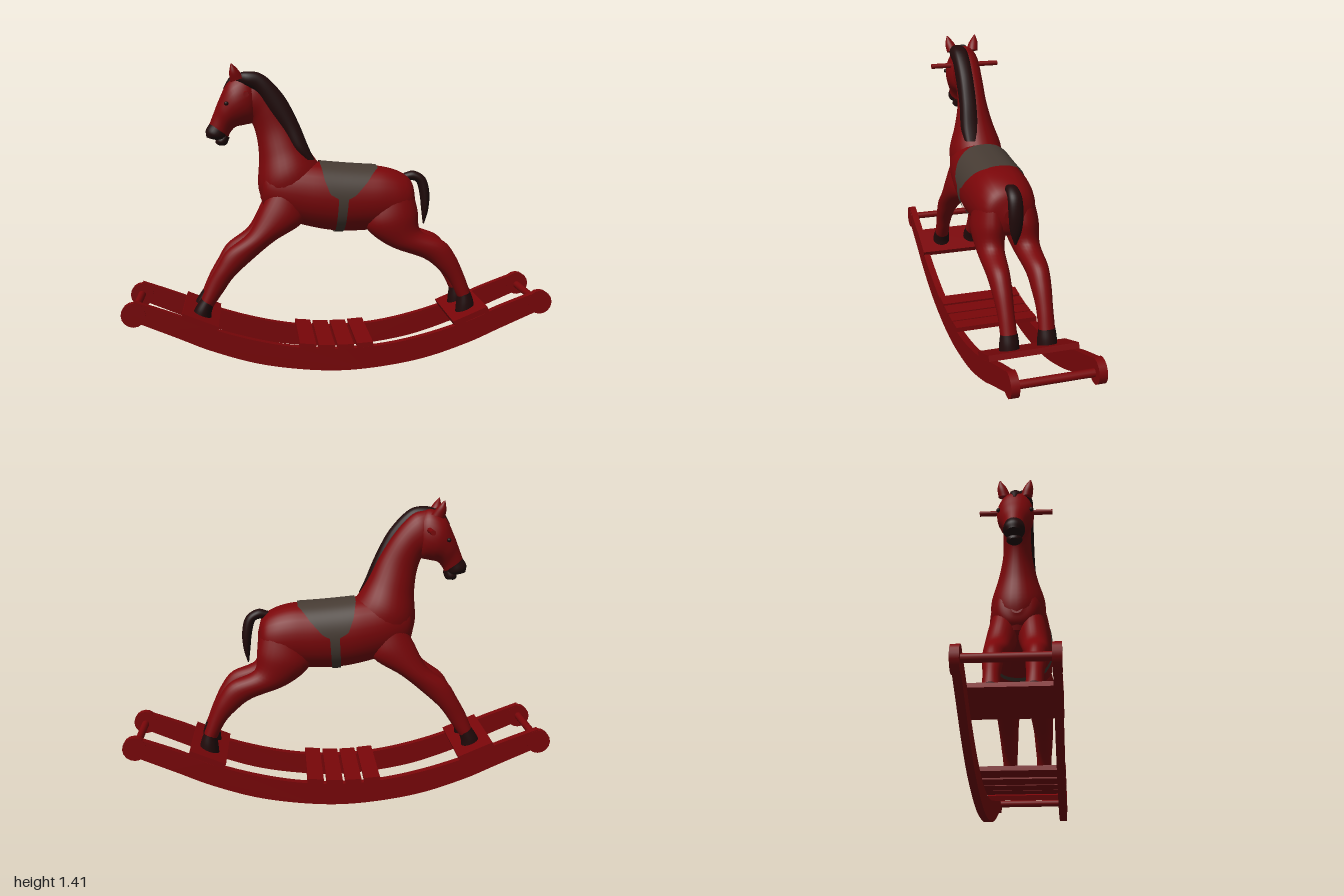
import * as THREE from 'three';

const red = new THREE.MeshStandardMaterial({ color: 0x7a0609 });
red.name = 'red paint';
const dark = new THREE.MeshStandardMaterial({ color: 0x200a0a });
dark.name = 'dark hair';
const grey = new THREE.MeshStandardMaterial({ color: 0x463b33, side: THREE.DoubleSide });
grey.name = 'saddle cloth';

function add(group, name, geometry, material, x = 0, y = 0, z = 0) {
  const mesh = new THREE.Mesh(geometry, material);
  mesh.name = name;
  mesh.position.set(x, y, z);
  group.add(mesh);
  return mesh;
}

// Sine with a fuller shoulder, for barrel-shaped sections
const fullSine = (q, power) => Math.sign(Math.sin(q)) * Math.abs(Math.sin(q)) ** power;

// Smooth closed loft of rounded sections [ax, ay, bx, by, halfWidth, z]:
// a and b are opposite outline points in the side plane.
function loft(rows, side = 1, power = 1) {
  const sides = 28, n = (rows.length - 1) * 6;
  const curve = (f) => new THREE.CatmullRomCurve3(rows.map(f), false, 'catmullrom', 0.5);
  const curveA = curve((r) => new THREE.Vector3(r[0], r[1], (r[5] || 0) * side));
  const curveB = curve((r) => new THREE.Vector3(r[2], r[3], r[4]));
  const pos = [], idx = [];
  const ring = (t) => {
    const a = curveA.getPoint(t), b = curveB.getPoint(t);
    const cx = (a.x + b.x) / 2, cy = (a.y + b.y) / 2;
    for (let j = 0; j < sides; j++) {
      const q = (j / sides) * Math.PI * 2, c = Math.cos(q) / 2;
      pos.push(cx + c * (a.x - b.x), cy + c * (a.y - b.y), a.z + fullSine(q, power) * b.z);
    }
    return [cx, cy, a.z];
  };
  for (let i = 0; i <= n; i++) ring(i / n);
  for (let i = 0; i < n; i++) for (let j = 0; j < sides; j++) {
    const k = (j + 1) % sides, p = i * sides, q = p + sides;
    idx.push(p + j, q + j, p + k, p + k, q + j, q + k);
  }
  // End caps with their own vertices, so their rims stay sharp
  for (const t of [0, 1]) {
    const s = pos.length / 3;
    pos.push(...ring(t));
    for (let j = 0; j < sides; j++) {
      const k = (j + 1) % sides;
      idx.push(s + sides, s + (t ? k : j), s + (t ? j : k));
    }
  }
  // Turn the faces outward if the enclosed volume is negative
  const at = (i) => new THREE.Vector3().fromArray(pos, i * 3);
  let volume = 0;
  for (let i = 0; i < idx.length; i += 3) volume += at(idx[i]).dot(at(idx[i + 1]).cross(at(idx[i + 2])));
  if (volume < 0) idx.reverse();
  const g = new THREE.BufferGeometry();
  g.setAttribute('position', new THREE.Float32BufferAttribute(pos, 3));
  g.setIndex(idx);
  g.computeVertexNormals();
  return g;
}

// Saddle cloth narrowing to a girth that runs around the belly
function saddleGeometry() {
  const outline = [[0, -0.085, 0.185], [20, -0.085, 0.185], [56, -0.07, 0.13],
    [80, -0.045, 0.075], [87, -0.005, 0.04], [180, -0.02, 0.02]];
  const pos = [], idx = [], cols = 8;
  for (let d = -180; d <= 180; d += 3) {
    const m = Math.abs(d);
    const i = Math.max(1, outline.findIndex((o) => o[0] >= m));
    const p = outline[i - 1], q = outline[i], f = (m - p[0]) / (q[0] - p[0]);
    for (let c = 0; c <= cols; c++) {
      const x = THREE.MathUtils.lerp(p[1] + (q[1] - p[1]) * f, p[2] + (q[2] - p[2]) * f, c / cols);
      const top = 0.95 - 0.09 * x + 0.1 * x * x, bottom = 0.632 - 0.07 * Math.min(x, 0), r = (d * Math.PI) / 180;
      pos.push(x, (top + bottom) / 2 + Math.cos(r) * ((top - bottom) / 2 + 0.006), fullSine(r, 0.8) * 0.152);
    }
  }
  for (let r = 0; r < 120; r++) for (let c = 0; c < cols; c++) {
    const a = r * (cols + 1) + c, b = a + cols + 1;
    idx.push(a, b, a + 1, a + 1, b, b + 1);
  }
  const g = new THREE.BufferGeometry();
  g.setAttribute('position', new THREE.Float32BufferAttribute(pos, 3));
  g.setIndex(idx);
  g.computeVertexNormals();
  return g;
}

export function createModel() {
  const model = new THREE.Group();
  model.name = 'rockingHorse';

  // Torso, neck and head
  add(model, 'body', loft([
    [-0.36, 0.88, -0.36, 0.79, 0.03], [-0.335, 0.94, -0.335, 0.74, 0.09], [-0.25, 0.97, -0.25, 0.69, 0.125],
    [-0.12, 0.962, -0.12, 0.652, 0.143], [0, 0.95, 0, 0.632, 0.147], [0.12, 0.94, 0.12, 0.632, 0.147],
    [0.22, 0.932, 0.22, 0.64, 0.143], [0.3, 0.907, 0.3, 0.65, 0.13], [0.35, 0.868, 0.35, 0.68, 0.1],
    [0.37, 0.8, 0.37, 0.73, 0.035]], 1, 0.8), red);
  add(model, 'neck', loft([
    [-0.04, 0.9, -0.33, 0.72, 0.12], [-0.1, 0.97, -0.37, 0.84, 0.125], [-0.15, 1.05, -0.365, 0.98, 0.092],
    [-0.2, 1.15, -0.375, 1.08, 0.069], [-0.27, 1.26, -0.4, 1.15, 0.064], [-0.35, 1.345, -0.44, 1.17, 0.065],
    [-0.42, 1.365, -0.47, 1.2, 0.05]]), red);
  add(model, 'head', loft([
    [-0.37, 1.33, -0.36, 1.22, 0.04], [-0.43, 1.37, -0.385, 1.15, 0.073], [-0.5, 1.335, -0.425, 1.135, 0.084],
    [-0.545, 1.25, -0.47, 1.125, 0.07], [-0.57, 1.19, -0.495, 1.1, 0.053], [-0.59, 1.14, -0.505, 1.08, 0.046]]), red);
  add(model, 'muzzle', loft([
    [-0.588, 1.143, -0.504, 1.083, 0.047], [-0.608, 1.11, -0.525, 1.065, 0.048],
    [-0.606, 1.078, -0.555, 1.065, 0.032]]), dark);
  add(model, 'chin', loft([
    [-0.535, 1.09, -0.5, 1.075, 0.03], [-0.56, 1.07, -0.515, 1.043, 0.035],
    [-0.565, 1.052, -0.545, 1.038, 0.018]]), dark);

  // Hair: the mane falls to one side of the neck
  add(model, 'mane', loft([
    [-0.48, 1.36, -0.47, 1.33, 0.015, 0.03], [-0.42, 1.378, -0.42, 1.31, 0.039, 0.036],
    [-0.34, 1.362, -0.37, 1.28, 0.04, 0.036], [-0.25, 1.27, -0.32, 1.2, 0.04, 0.036],
    [-0.185, 1.15, -0.255, 1.11, 0.041, 0.037], [-0.14, 1.04, -0.21, 1.02, 0.044, 0.041],
    [-0.11, 0.975, -0.16, 0.975, 0.035, 0.043]], 1, 0.7), dark);
  add(model, 'forelock', loft([
    [-0.46, 1.373, -0.44, 1.35, 0.02], [-0.495, 1.352, -0.475, 1.33, 0.025],
    [-0.525, 1.3, -0.51, 1.295, 0.008]]), dark);
  add(model, 'tail', loft([
    [0.32, 0.9, 0.32, 0.86, 0.02], [0.37, 0.91, 0.36, 0.865, 0.028], [0.425, 0.875, 0.385, 0.85, 0.032],
    [0.445, 0.8, 0.4, 0.79, 0.033], [0.44, 0.72, 0.408, 0.72, 0.026], [0.422, 0.655, 0.416, 0.655, 0.005]]), dark);

  add(model, 'saddle', saddleGeometry(), grey);
  const handle = add(model, 'handle', new THREE.CylinderGeometry(0.012, 0.012, 0.334, 16), red, -0.42, 1.28, 0);
  handle.rotation.x = Math.PI / 2;

  // Paired parts, mirrored across z
  for (const side of [1, -1]) {
    const label = side > 0 ? 'Near' : 'Far';
    add(model, 'ear' + label, loft([
      [-0.43, 1.35, -0.49, 1.33, 0.028, 0.05], [-0.455, 1.385, -0.495, 1.37, 0.022, 0.06],
      [-0.483, 1.413, -0.488, 1.413, 0.003, 0.07]], side), red);
    add(model, 'eye' + label, new THREE.SphereGeometry(0.01, 14, 10), dark, -0.51, 1.235, side * 0.074);
    add(model, 'frontLeg' + label, loft([
      [-0.3, 0.86, -0.15, 0.76, 0.055, 0.065], [-0.355, 0.76, -0.17, 0.68, 0.068, 0.07],
      [-0.42, 0.64, -0.3, 0.6, 0.06, 0.082], [-0.52, 0.56, -0.41, 0.51, 0.047, 0.089],
      [-0.565, 0.49, -0.49, 0.435, 0.042, 0.089], [-0.61, 0.41, -0.54, 0.365, 0.036, 0.088],
      [-0.645, 0.33, -0.588, 0.295, 0.037, 0.086]], side), red);
    add(model, 'frontHoof' + label, loft([
      [-0.643, 0.335, -0.586, 0.302, 0.038, 0.086], [-0.67, 0.295, -0.598, 0.265, 0.043, 0.086],
      [-0.685, 0.265, -0.6, 0.232, 0.044, 0.086]], side), dark);
    add(model, 'hindLeg' + label, loft([
      [0.35, 0.83, 0.13, 0.76, 0.065, 0.068], [0.375, 0.73, 0.13, 0.655, 0.078, 0.075],
      [0.39, 0.635, 0.24, 0.565, 0.061, 0.083], [0.5, 0.583, 0.4, 0.505, 0.05, 0.089],
      [0.555, 0.515, 0.475, 0.45, 0.044, 0.089], [0.6, 0.42, 0.53, 0.39, 0.037, 0.088],
      [0.636, 0.325, 0.574, 0.308, 0.037, 0.086]], side), red);
    add(model, 'hindHoof' + label, loft([
      [0.634, 0.335, 0.573, 0.318, 0.038, 0.086], [0.647, 0.3, 0.568, 0.27, 0.043, 0.086],
      [0.655, 0.268, 0.565, 0.23, 0.044, 0.086]], side), dark);

    // Curved rocker board with round ends
    const half = [[0.94, 0.262, 0.355], [0.75, 0.18, 0.285], [0.6, 0.115, 0.22], [0.4, 0.05, 0.158],
      [0.2, 0.014, 0.118]];
    const edge = (k, mid) => [...half.map((h) => new THREE.Vector2(-h[0], h[k])), new THREE.Vector2(0, mid),
      ...half.map((h) => new THREE.Vector2(h[0], h[k])).reverse()];
    const lower = edge(1, 0), upper = edge(2, 0.105).reverse();
    const board = new THREE.Shape();
    board.moveTo(lower[0].x, lower[0].y);
    board.splineThru(lower.slice(1));
    board.lineTo(upper[0].x, upper[0].y);
    board.splineThru(upper.slice(1));
    board.closePath();
    add(model, 'rocker' + label,
      new THREE.ExtrudeGeometry(board, { depth: 0.034, bevelEnabled: false, curveSegments: 30 }),
      red, 0, 0, side * 0.183 - 0.017);
    for (const end of [1, -1]) {
      const knob = add(model, 'rockerEnd' + label, new THREE.CylinderGeometry(0.056, 0.056, 0.036, 16), red,
        end * 0.944, 0.297 + end * 0.005, side * 0.183);
      knob.rotation.x = Math.PI / 2;
    }
  }

  // Foot boards, cross bars and middle slats between the rockers
  for (const end of [1, -1]) {
    const board = add(model, 'footBoard', new THREE.BoxGeometry(0.176, 0.026, 0.404), red,
      end > 0 ? 0.614 : -0.648, end > 0 ? 0.242 : 0.249, 0);
    board.rotation.z = end * 0.4;
    const bar = add(model, 'crossBar', new THREE.CylinderGeometry(0.018, 0.018, 0.34, 14), red, end * 0.945, 0.295, 0);
    bar.rotation.x = Math.PI / 2;
  }
  for (const [x, y] of [[-0.155, 0.123], [-0.067, 0.115], [0.022, 0.115], [0.112, 0.121]]) {
    const slat = add(model, 'slat', new THREE.BoxGeometry(0.076, 0.022, 0.404), red, x, y, 0);
    slat.rotation.z = x * 0.6;
  }
  return model;
}
